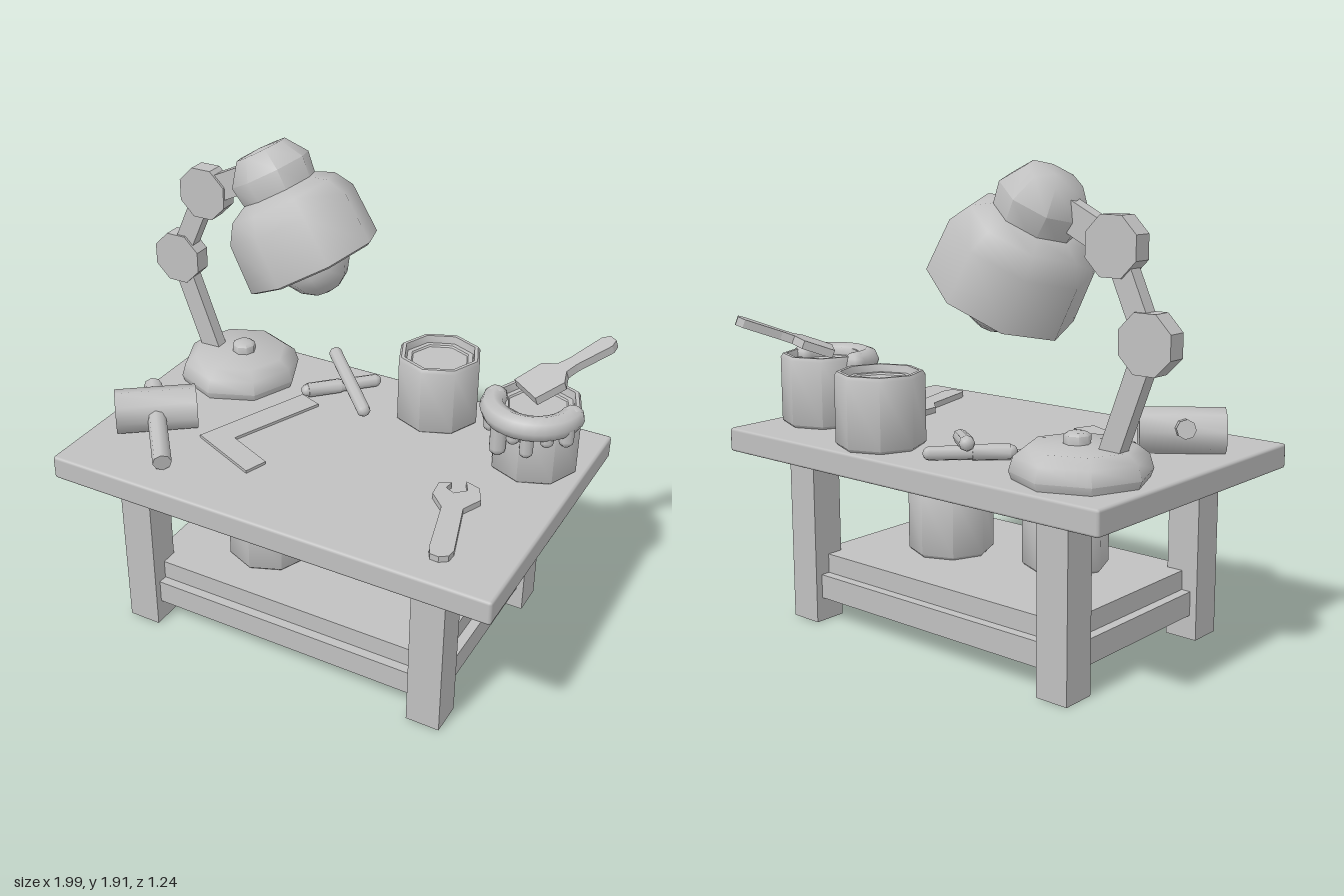
import * as THREE from 'three';
import { toCreasedNormals } from 'three/addons/utils/BufferGeometryUtils.js';
import { RoundedBoxGeometry } from 'three/addons/geometries/RoundedBoxGeometry.js';

const V = (x, y, z) => new THREE.Vector3(x, y, z);
const UP = V(0, 1, 0);

export function createModel() {
  const root = new THREE.Group();
  const clay = new THREE.MeshStandardMaterial({ color: 0xc0c0c0 });
  clay.name = 'clay grey';

  const add = (name, geo, pos = V(0, 0, 0), parent = root) => {
    const m = new THREE.Mesh(geo, clay);
    m.name = name;
    m.position.copy(pos);
    parent.add(m);
    return m;
  };
  const box = (name, x0, x1, y0, y1, z0, z1) =>
    add(name, new THREE.BoxGeometry(x1 - x0, y1 - y0, z1 - z0),
      V((x0 + x1) / 2, (y0 + y1) / 2, (z0 + z1) / 2));
  // Eight-sided turned part: smooth around, sharp at steep profile corners
  const turned = (name, profile, pos, parent) => {
    const pts = profile.map(([r, y]) => new THREE.Vector2(r, y));
    return add(name, toCreasedNormals(new THREE.LatheGeometry(pts, 8), 0.95), pos, parent);
  };
  // Lay a y-aligned geometry between two points
  const between = (name, geo, a, b) => {
    const m = add(name, geo, a.clone().add(b).multiplyScalar(0.5));
    m.quaternion.setFromUnitVectors(UP, b.clone().sub(a).normalize());
    return m;
  };
  const rod = (name, a, b, r) =>
    between(name, toCreasedNormals(new THREE.CylinderGeometry(r, r, a.distanceTo(b), 8), 0.95), a, b);
  const capsule = (name, a, b, r) =>
    between(name, new THREE.CapsuleGeometry(r, Math.max(0.001, a.distanceTo(b) - 2 * r), 3, 8), a, b);
  const outline = (pts) => new THREE.Shape(pts.map(([x, y]) => new THREE.Vector2(x, y)));
  // Flat tool drawn as [x, z] points, lying on the table
  const flat = (name, pts, h) => {
    const geo = new THREE.ExtrudeGeometry(outline(pts.map(([x, z]) => [x, -z])), { depth: h, bevelEnabled: false });
    geo.rotateX(-Math.PI / 2);
    return add(name, geo, V(0, 0.8, 0));
  };

  // Table
  add('tableTop', new RoundedBoxGeometry(1.9, 0.1, 1.24, 1, 0.012), V(0.045, 0.75, 0));
  for (const x of [-0.68, 0.63])
    for (const z of [-0.49, 0.35]) box('tableLeg', x, x + 0.14, 0, 0.7, z, z + 0.14);
  box('shelf', -0.61, 0.7, 0.2, 0.28, -0.42, 0.42);
  for (const s of [-1, 1]) {
    box('longRail', -0.54, 0.63, 0.1, 0.2, s * 0.42 - 0.04, s * 0.42 + 0.04);
    const x = 0.045 + s * 0.655;
    box('sideRail', x - 0.04, x + 0.04, 0.1, 0.2, -0.35, 0.35);
  }

  // Cans with a recessed lid
  const can = (name, x, y, z) => turned(name, [
    [0, 0], [0.165, 0], [0.177, 0.012], [0.177, 0.28], [0.167, 0.295],
    [0.152, 0.295], [0.145, 0.265], [0.125, 0.265], [0.12, 0.258], [0, 0.258],
  ], V(x, y, z));
  can('tableCan', 0.295, 0.8, -0.43);
  can('shelfCanRight', 0.295, 0.28, -0.03);
  can('shelfCanLeft', -0.2, 0.28, 0.115);
  can('paintCan', 0.785, 0.8, -0.28);

  // Paint spilling over the front rim, with drips
  const spill = new THREE.TorusGeometry(0.158, 0.05, 8, 16, Math.PI);
  spill.rotateX(Math.PI / 2);
  add('paintSpill', spill, V(0.775, 1.062, -0.255));
  const ends = [[-0.14, 0.14, 0.03], [-0.13, 0.99, 0.025]];
  ends.forEach(([c]) => {
    const side = c === ends[0][0] ? -1 : 1;
    add('paintSpillEnd', new THREE.SphereGeometry(0.05, 8, 6), V(0.775 + side * 0.158, 1.062, -0.255));
  });
  for (const [a, y, r] of [[-1.3, 0.97, 0.03], [-0.95, 0.965, 0.028], [-0.52, 0.9, 0.034],
    [-0.12, 0.98, 0.028], [0.2, 0.935, 0.028], [0.62, 0.985, 0.028], [1.1, 0.97, 0.03]])
    capsule('paintDrip',
      V(0.78 + 0.178 * Math.sin(a), 1.09, -0.272 + 0.178 * Math.cos(a)),
      V(0.78 + 0.178 * Math.sin(a), y, -0.272 + 0.178 * Math.cos(a)), r);

  // Brush resting on the paint can
  const brushGeo = new THREE.ExtrudeGeometry(outline([
    [-0.08, 0], [0.08, 0], [0.085, 0.13], [0.035, 0.17], [0.028, 0.22], [0.038, 0.38],
    [0.02, 0.41], [-0.02, 0.41], [-0.038, 0.38], [-0.028, 0.22], [-0.035, 0.17], [-0.085, 0.13],
  ]), { depth: 0.035, bevelEnabled: false });
  brushGeo.translate(0, 0, -0.0175);
  const brush = add('paintBrush', brushGeo, V(0.73, 1.105, -0.28));
  const along = V(0.25, 0.15, -0.32).normalize();
  const across = V(0.79, 0, 0.62).normalize();
  brush.quaternion.setFromRotationMatrix(
    new THREE.Matrix4().makeBasis(across, along, across.clone().cross(along)));

  // Lamp base and knob
  turned('lampBase', [[0, 0], [0.25, 0], [0.262, 0.03], [0.245, 0.085], [0.2, 0.12], [0, 0.125]],
    V(-0.61, 0.8, -0.325));
  turned('lampKnob', [[0, 0], [0.05, 0], [0.05, 0.035], [0.035, 0.045], [0, 0.045]],
    V(-0.59, 0.92, -0.325));

  // Lamp arm: bars and octagonal joints
  const z = -0.32;
  const path = [V(-0.73, 0.88, z), V(-0.89, 1.31, z), V(-0.745, 1.63, z), V(-0.52, 1.74, z)];
  [0.085, 0.085, 0.11].forEach((w, i) => between('lampArm',
    new THREE.BoxGeometry(w, path[i].distanceTo(path[i + 1]), 0.055), path[i], path[i + 1]));
  for (const p of [path[1], path[2]]) {
    const joint = new THREE.CylinderGeometry(0.115, 0.115, 0.075, 8, 1, false, Math.PI / 8);
    joint.rotateX(Math.PI / 2);
    add('lampJoint', toCreasedNormals(joint, 0.5), p);
  }

  // Tilted lamp head
  const head = new THREE.Group();
  head.name = 'lampHead';
  head.position.set(-0.23, 1.414, -0.325);
  head.rotation.z = 0.513;
  root.add(head);
  turned('lampShade', [
    [0, 0.27], [0.16, 0.265], [0.24, 0.19], [0.255, 0.01], [0.272, 0], [0.289, 0.008],
    [0.28, 0.22], [0.232, 0.297], [0.16, 0.335], [0, 0.335],
  ], undefined, head);
  turned('lampCap', [[0, 0.3], [0.155, 0.3], [0.172, 0.42], [0.108, 0.508], [0, 0.515]], undefined, head);
  add('bulb', new THREE.SphereGeometry(0.148, 10, 8), V(0, 0.02, 0), head);
  turned('bulbSocket', [[0, 0.1], [0.08, 0.1], [0.08, 0.28], [0, 0.28]], undefined, head);

  // Hammer
  rod('hammerHead', V(-0.803, 0.885, 0.325), V(-0.541, 0.885, 0.123), 0.092);
  rod('hammerHandle', V(-0.76, 0.92, 0.12), V(-0.46, 0.838, 0.49), 0.038);

  // Crossed rods behind the lamp
  capsule('lowerRod', V(-0.27, 0.832, -0.27), V(-0.02, 0.832, -0.525), 0.028);
  rod('lowerRodGrip', V(-0.25, 0.832, -0.29), V(-0.15, 0.832, -0.392), 0.032);
  capsule('upperRod', V(-0.26, 0.908, -0.54), V(0.06, 0.835, -0.23), 0.03);

  // Carpenter's square
  flat('square', [[-0.47, 0.21], [-0.165, 0.345], [-0.133, 0.25], [-0.335, 0.16],
    [-0.17, -0.24], [-0.27, -0.28]], 0.012);

  // Open-ended wrench
  flat('wrench', [[0.535, 0.065], [0.58, 0.045], [0.575, 0.085], [0.615, 0.105], [0.655, 0.065],
    [0.625, 0.01], [0.69, 0.03], [0.725, 0.1], [0.69, 0.185], [0.768, 0.435], [0.765, 0.475],
    [0.735, 0.497], [0.7, 0.495], [0.68, 0.46], [0.612, 0.21], [0.545, 0.145]], 0.025);

  return root;
}
